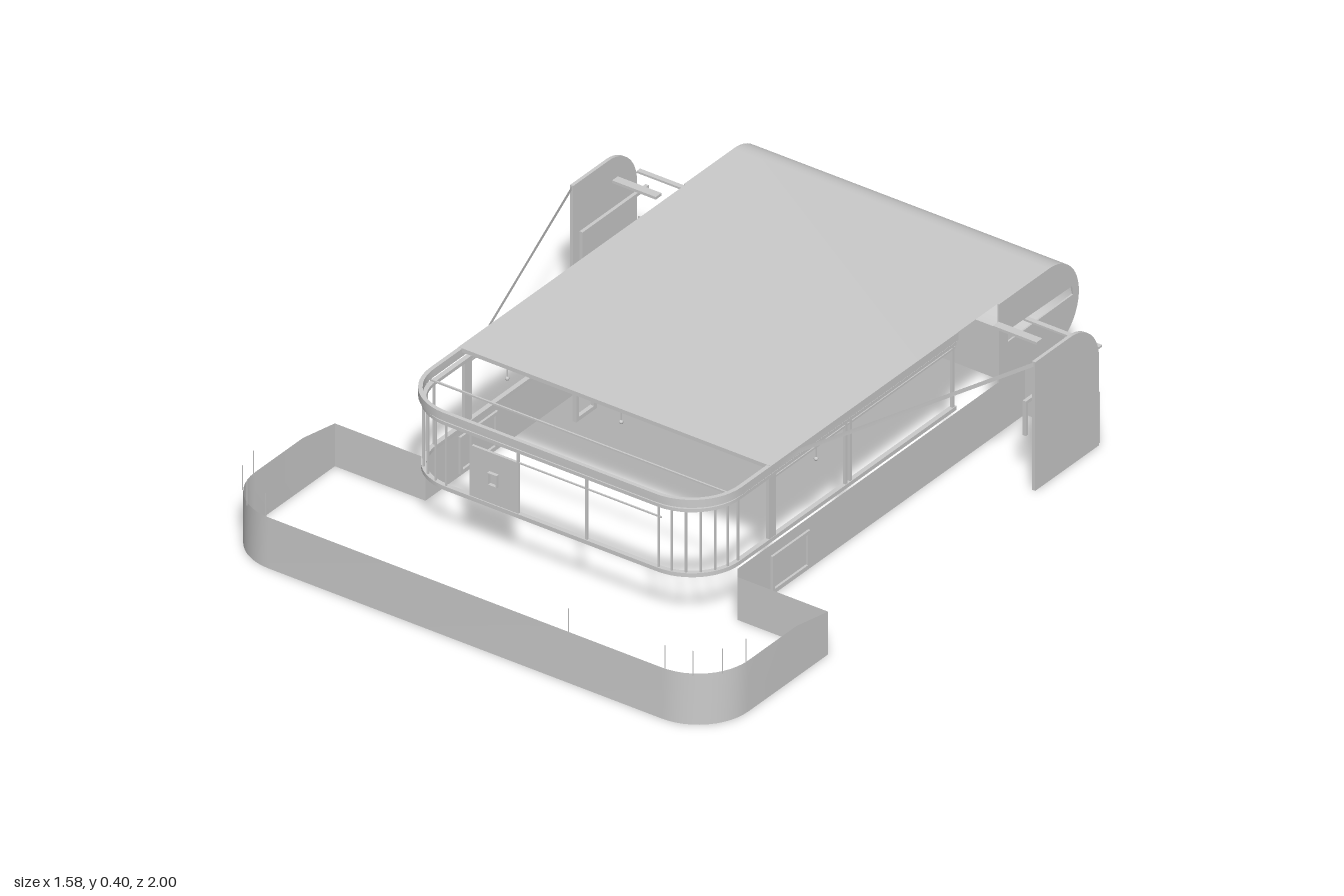
import * as THREE from 'three';
import { toCreasedNormals } from 'three/addons/utils/BufferGeometryUtils.js';

const grey = new THREE.MeshStandardMaterial({ color: 0xcccccc, side: THREE.DoubleSide });

export function createModel() {
  const model = new THREE.Group();

  function add(name, geometry) {
    const mesh = new THREE.Mesh(geometry, grey);
    mesh.name = name;
    model.add(mesh);
    return mesh;
  }
  // Box given by its extents on each axis
  function box(name, x0, x1, y0, y1, z0, z1) {
    const g = new THREE.BoxGeometry(Math.abs(x1 - x0), Math.abs(y1 - y0), Math.abs(z1 - z0));
    g.translate((x0 + x1) / 2, (y0 + y1) / 2, (z0 + z1) / 2);
    return add(name, g);
  }
  // Thin sheet between two rows of points
  function sheet(name, rowA, rowB) {
    const pos = [], index = [];
    rowA.forEach((a, i) => {
      pos.push(...a, ...rowB[i]);
      if (i) index.push(2 * i - 2, 2 * i - 1, 2 * i, 2 * i, 2 * i - 1, 2 * i + 1);
    });
    const g = new THREE.BufferGeometry();
    g.setAttribute('position', new THREE.Float32BufferAttribute(pos, 3));
    g.setIndex(index);
    return add(name, toCreasedNormals(g, 0.6));
  }
  // Upright wall along a plan path of [x, z, top]
  const wall = (name, path, y0 = 0) =>
    sheet(name, path.map(([x, z]) => [x, y0, z]), path.map(([x, z, top]) => [x, top, z]));
  // Quarter turn in plan from the +x side to the front
  function corner(w, front, r, steps) {
    return Array.from({ length: steps + 1 }, (_, i) => {
      const a = (i / steps) * Math.PI / 2;
      return [w - r + r * Math.cos(a), front - r + r * Math.sin(a)];
    });
  }
  // U-shaped plan from the left side round the front to the right side
  function uPlan(w, front, r, back) {
    const half = [[w, back], ...corner(w, front, r, 12)];
    return [...half, ...half.map(([x, z]) => [-x, z]).reverse()];
  }
  // U-shaped rail with thickness t
  function uRail(name, w, front, r, back, t, y0, y1) {
    const outline = [...uPlan(w, front, r, back), ...uPlan(w - t, front - t, r - t, back).reverse()];
    const shape = new THREE.Shape(outline.map(([x, z]) => new THREE.Vector2(x, z)));
    const g = new THREE.ExtrudeGeometry(shape, { depth: y1 - y0, bevelEnabled: false });
    g.rotateX(Math.PI / 2).translate(0, y1, 0);
    return add(name, toCreasedNormals(g, 0.5));
  }
  // Flat shape in the side plane (shape x is z, shape y is y)
  function sidePanel(name, shape, x, t) {
    const g = new THREE.ExtrudeGeometry(shape, { depth: t, bevelEnabled: false, curveSegments: 16 });
    g.rotateY(-Math.PI / 2).translate(x + t / 2, 0, 0);
    return add(name, toCreasedNormals(g, 0.5));
  }
  // Rectangular frame in the side plane with bar width t and depth d
  function rectFrame(name, x, z0, z1, y0, y1, t, d) {
    for (const z of [z0, z1 - t]) box(name, x - d / 2, x + d / 2, y0, y1, z, z + t);
    for (const y of [y0, y1 - t]) box(name, x - d / 2, x + d / 2, y, y + t, z0 + t, z1 - t);
  }

  // Terrace wall with rounded front corners and sloping rear ends
  const half = [[0.5, 0.49, 0.13], [0.79, 0.49, 0.13], [0.79, 0.63, 0.155],
    ...corner(0.79, 1, 0.16, 12).map(p => [...p, 0.155])];
  wall('terraceWall', [...half, ...half.map(([x, z, t]) => [-x, z, t]).reverse()]);

  // Terrace posts
  const post = (x, z) => box('terracePost', x - 0.001, x + 0.001, 0.15, 0.225, z - 0.001, z + 0.001);
  for (const s of [-1, 1]) for (const [x, z] of corner(0.789, 0.999, 0.15, 3)) post(s * x, z);
  post(0.33, 0.999);

  // Base walls
  wall('baseWall', [[0.5, 0.49, 0.155], [0.5, -0.87, 0.155], [-0.5, -0.87, 0.155], [-0.5, 0.49, 0.155]]);

  // Roof sheet with a front lip, rolling over at the back
  const profile = [[0.383, 0.345], [0.395, 0.345]];
  for (let i = 0; i <= 24; i++) {
    const a = (i / 24) * Math.PI;
    profile.push([0.265 + 0.13 * Math.cos(a), -0.87 - 0.13 * Math.sin(a)]);
  }
  sheet('roof', profile.map(([y, z]) => [-0.5, y, z]), profile.map(([y, z]) => [0.5, y, z]));

  // Front ring: fascia, window head and sill
  uRail('fascia', 0.5, 0.63, 0.16, -0.48, 0.012, 0.37, 0.394);
  uRail('windowHead', 0.493, 0.623, 0.153, -0.48, 0.014, 0.352, 0.362);
  uRail('windowSill', 0.493, 0.623, 0.153, -0.48, 0.014, 0.155, 0.167);
  box('crossBeam', -0.49, 0.49, 0.364, 0.369, 0.478, 0.483);

  // Window mullions
  const mullion = (x, z, t = 0.006) =>
    box('mullion', x - t / 2, x + t / 2, 0.16, 0.358, z - t / 2, z + t / 2);
  for (const s of [-1, 1]) {
    for (const [x, z] of corner(0.487, 0.617, 0.147, 6)) mullion(s * x, z, 0.005);
    for (const z of [0.0, -0.02, -0.47]) mullion(s * 0.487, z, 0.008);
    box('sidePost', s * 0.482, s * 0.492, 0.16, 0.36, 0.31, 0.34);
    box('sideRail', s * 0.484, s * 0.49, 0.34, 0.346, -0.48, 0.31);
  }
  for (const x of [-0.26, -0.11, 0.11]) mullion(x, 0.617);

  // Front door, its small window frame and the panel at the rear of the room
  box('frontDoor', -0.26, -0.11, 0.16, 0.32, 0.612, 0.62);
  for (const x of [-0.2, -0.173]) box('doorWindowFrame', x, x + 0.003, 0.225, 0.263, 0.62, 0.63);
  for (const y of [0.225, 0.26]) box('doorWindowFrame', -0.2, -0.17, y, y + 0.003, 0.62, 0.63);
  box('frontRail', -0.11, 0.35, 0.318, 0.322, 0.615, 0.619);
  box('rearPanel', -0.23, -0.11, 0.155, 0.345, -0.484, -0.478);

  // Inner door frame and hanging lamps
  rectFrame('innerDoorFrame', -0.26, 0.075, 0.165, 0.165, 0.32, 0.012, 0.012);
  for (const [x, z] of [[-0.085, 0.2], [0.33, 0.05], [-0.45, 0.2], [0.43, 0.05]]) {
    box('lampRod', x - 0.0015, x + 0.0015, 0.25, 0.393, z - 0.0015, z + 0.0015);
    add('lamp', new THREE.SphereGeometry(0.006, 10, 8)).position.set(x, 0.246, z);
  }

  // Roll end panel with a long slot
  const endPanel = new THREE.Shape();
  endPanel.moveTo(-0.65, 0.155);
  endPanel.lineTo(-0.87, 0.135);
  endPanel.absarc(-0.87, 0.265, 0.13, -Math.PI / 2, -Math.PI * 1.5, true);
  endPanel.lineTo(-0.65, 0.395);
  const slot = new THREE.Path();
  slot.moveTo(-0.975, 0.265).lineTo(-0.69, 0.262).lineTo(-0.69, 0.297).lineTo(-0.97, 0.292);
  endPanel.holes.push(slot);

  // Side fin with a rounded rear top corner
  const fin = new THREE.Shape();
  fin.moveTo(-0.48, 0);
  fin.lineTo(-0.76, 0);
  fin.lineTo(-0.76, 0.265);
  fin.absarc(-0.635, 0.265, 0.125, Math.PI, Math.PI / 2, true);
  fin.lineTo(-0.48, 0.39);

  for (const s of [-1, 1]) {
    sidePanel('rollEndPanel', endPanel, s * 0.5 - (s > 0 ? 0 : 0.005) + 0.0025, 0.005);
    sidePanel('sideFin', fin, s * 0.74, 0.01);
    // Handrail inside the fin
    box('finRail', s * 0.705, s * 0.715, 0.25, 0.26, -0.77, -0.48);
    box('finRailPost', s * 0.705, s * 0.715, 0.155, 0.25, -0.49, -0.48);
    wall('finReturnWall', [[s * 0.5, -0.77, 0.155], [s * 0.74, -0.77, 0.155]]);
    box('finBeam', s * 0.5, s * 0.74, 0.287, 0.293, -0.78, -0.765);
    box('shelf', s * 0.54, s * 0.68, 0.372, 0.38, -0.6, -0.575);
    // Slanting strip from fin to roof edge
    wall('slantingStrip', [[s * 0.74, -0.48, 0.388], [s * 0.502, 0.22, 0.388], [s * 0.502, 0.345, 0.388]], 0.375);
    rectFrame('baseWindowFrame', s * 0.5, 0.18, 0.345, 0.01, 0.122, 0.01, 0.014);
  }

  return model;
}
